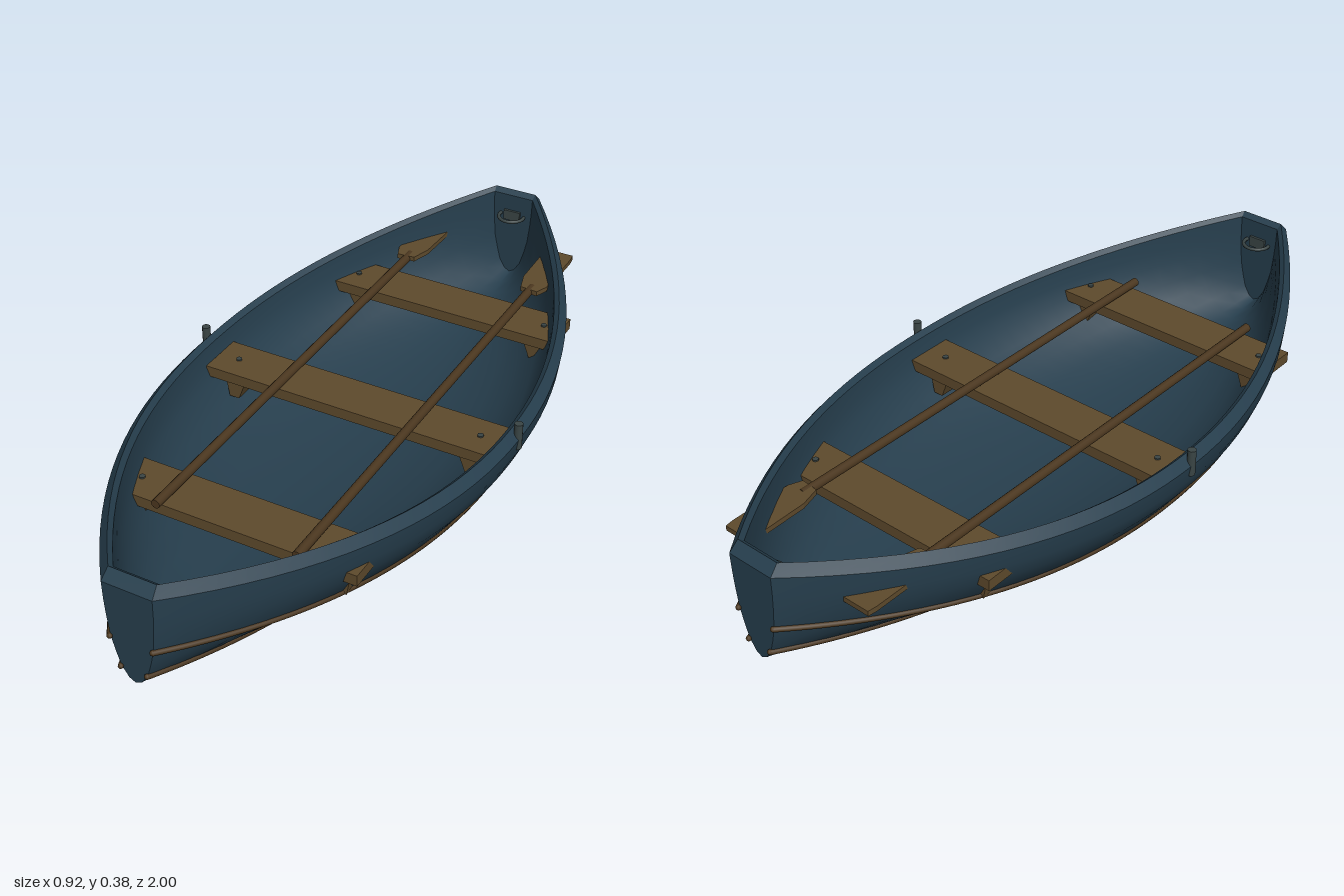
import * as THREE from 'three';
import { toCreasedNormals } from 'three/addons/utils/BufferGeometryUtils.js';

const HALF = 0.99;      // half length of the hull
const STATIONS = 36;    // steps along the hull

// Hull lines, with t running from -1 (stern) to 1 (bow)
const width = t => 0.065 + 0.39 * (1 - Math.pow(Math.abs(t), 2.1));
const keel = t => 0.085 * t * t;
const sheer = t => 0.29 + 0.085 * t * t;

// Half section: fraction of the width, fraction of the height
const PROFILE = [[0, 0], [0.26, 0.035], [0.53, 0.14], [0.7, 0.28], [0.855, 0.44], [0.945, 0.66], [0.985, 0.82], [1, 1]];
const SECTION = [...PROFILE.slice(1).reverse().map(([u, v]) => [-u, v]), ...PROFILE];

function outerPoint(t, u, v) {
  const k = keel(t);
  return new THREE.Vector3(u * width(t), k + v * (sheer(t) - 0.025 - k), t * HALF);
}

function innerPoint(t, u, v) {
  const k = keel(t) + 0.025;
  return new THREE.Vector3(u * width(t) * 0.92, k + v * (sheer(t) - 0.012 - k), t * HALF * 0.96);
}

// Surface through rows of points
function gridGeometry(rows, flip) {
  const n = rows[0].length, index = [];
  for (let i = 0; i < rows.length - 1; i++) {
    for (let j = 0; j < n - 1; j++) {
      const a = i * n + j, b = a + n, c = a + 1, d = b + 1;
      if (flip) index.push(a, c, b, b, c, d);
      else index.push(a, b, c, b, d, c);
    }
  }
  const geometry = new THREE.BufferGeometry().setFromPoints(rows.flat());
  geometry.setIndex(index);
  geometry.computeVertexNormals();
  return geometry;
}

export function createModel() {
  const boat = new THREE.Group();
  boat.name = 'rowingBoat';

  const material = (name, color) => {
    const m = new THREE.MeshStandardMaterial({ color });
    m.name = name;
    return m;
  };
  const hullPaint = material('hullBlue', 0x263e4d);
  const plankWood = material('plankWood', 0x5e4a2c);
  const darkWood = material('darkWood', 0x4b371f);
  const metal = material('darkMetal', 0x3a4545);

  const add = (name, geometry, mat, x = 0, y = 0, z = 0, parent = boat) => {
    const mesh = new THREE.Mesh(geometry, mat);
    mesh.name = name;
    mesh.position.set(x, y, z);
    parent.add(mesh);
    return mesh;
  };

  // Hull skins
  const ts = Array.from({ length: STATIONS + 1 }, (_, i) => -1 + 2 * i / STATIONS);
  const skin = point => ts.map(t => SECTION.map(([u, v]) => point(t, u, v)));
  add('outerHull', gridGeometry(skin(outerPoint), true), hullPaint);
  add('innerHull', gridGeometry(skin(innerPoint), false), hullPaint);

  // Bevelled rim, swept once around the boat
  const rimRow = (t, s) => [
    outerPoint(t, s, 1),
    new THREE.Vector3(s * width(t) * 0.95, sheer(t), t * HALF * 0.975),
    innerPoint(t, s, 1),
  ];
  const rim = [...ts.map(t => rimRow(t, 1)), ...[...ts].reverse().map(t => rimRow(t, -1)), rimRow(-1, 1)];
  add('rim', toCreasedNormals(gridGeometry(rim, true), 0.5), hullPaint);

  // Flat ends, outside and inside
  for (const end of [1, -1]) {
    for (const [name, point, facing] of [['outerTransom', outerPoint, end], ['innerTransom', innerPoint, -end]]) {
      const pts = SECTION.map(([u, v]) => point(1, u, v));
      const shape = new THREE.Shape(pts.map(p => new THREE.Vector2(p.x, p.y)));
      const mesh = add(name, new THREE.ShapeGeometry(shape), hullPaint, 0, 0, end * pts[0].z);
      if (facing < 0) mesh.rotation.y = Math.PI;
    }
  }

  // Rubbing strakes along the outer hull
  for (const side of [1, -1]) {
    for (const [u, v] of [[0.855, 0.44], [0.53, 0.14]]) {
      const pts = ts.map(t => outerPoint(t, side * u, v).multiply(new THREE.Vector3(1, 1, 1.003)));
      add('strake', new THREE.TubeGeometry(new THREE.CatmullRomCurve3(pts), 72, 0.007, 8), darkWood);
      for (const p of [pts[0], pts[STATIONS]]) {
        add('strakeEnd', new THREE.SphereGeometry(0.007, 8, 6), darkWood, p.x, p.y, p.z);
      }
    }
  }

  // Seats with knees and bolts
  for (const [z, half, boltX] of [[0.537, 0.335, 0.285], [0, 0.41, 0.35], [-0.537, 0.335, 0.285]]) {
    const seat = new THREE.Group();
    seat.name = 'seat';
    seat.position.z = z;
    boat.add(seat);
    add('seatPlank', new THREE.BoxGeometry(half * 2, 0.03, 0.132), plankWood, 0, 0.22, 0, seat);
    for (const side of [1, -1]) {
      const x = side * boltX;
      const knee = new THREE.Shape([[-0.045, 0], [-0.02, -0.065], [0.008, -0.065], [0.02, 0]]
        .map(([a, b]) => new THREE.Vector2(x + side * a, b)));
      const kneeGeometry = new THREE.ExtrudeGeometry(knee, { depth: 0.08, bevelEnabled: false });
      add('seatKnee', kneeGeometry, plankWood, 0, 0.207, -0.04, seat);
      add('seatBolt', new THREE.CylinderGeometry(0.008, 0.008, 0.006, 10), metal, x, 0.236, 0, seat);
    }
  }

  // Oars resting on the seats, blades aft
  const bladeOutline = [[-0.024, 0.645], [-0.04, 0.7], [-0.044, 0.86], [-0.038, 0.87], [0.037, 0.87],
    [0.04, 0.845], [0.04, 0.675], [0.026, 0.64]];
  for (const side of [1, -1]) {
    const oar = new THREE.Group();
    oar.name = 'oar';
    oar.position.set(side * 0.19, 0.25, 0);
    boat.add(oar);
    const shaft = new THREE.CylinderGeometry(0.012, 0.012, 1.29, 12).rotateX(Math.PI / 2);
    add('oarShaft', shaft, darkWood, 0, 0.002, -0.025, oar).rotation.x = 0.008;
    const shape = new THREE.Shape(bladeOutline.map(([x, z]) => new THREE.Vector2(side * x, z)));
    const blade = new THREE.ExtrudeGeometry(shape, { depth: 0.014, bevelEnabled: false }).rotateX(-Math.PI / 2);
    add('oarBlade', blade, plankWood, 0, 0.003, 0, oar);
  }

  // Oarlock pins
  for (const side of [1, -1]) {
    add('oarlockPin', new THREE.CylinderGeometry(0.011, 0.011, 0.072, 12), metal, side * 0.449, 0.272, 0);
  }

  // Mooring rings at both ends
  for (const end of [1, -1]) {
    const ring = new THREE.TorusGeometry(0.037, 0.005, 8, 24).rotateX(Math.PI / 2);
    add('mooringRing', ring, metal, 0, 0.3, end * 0.943);
    add('ringPlate', new THREE.BoxGeometry(0.05, 0.03, 0.008), metal, 0, 0.3, end * 0.947);
  }

  return boat;
}
